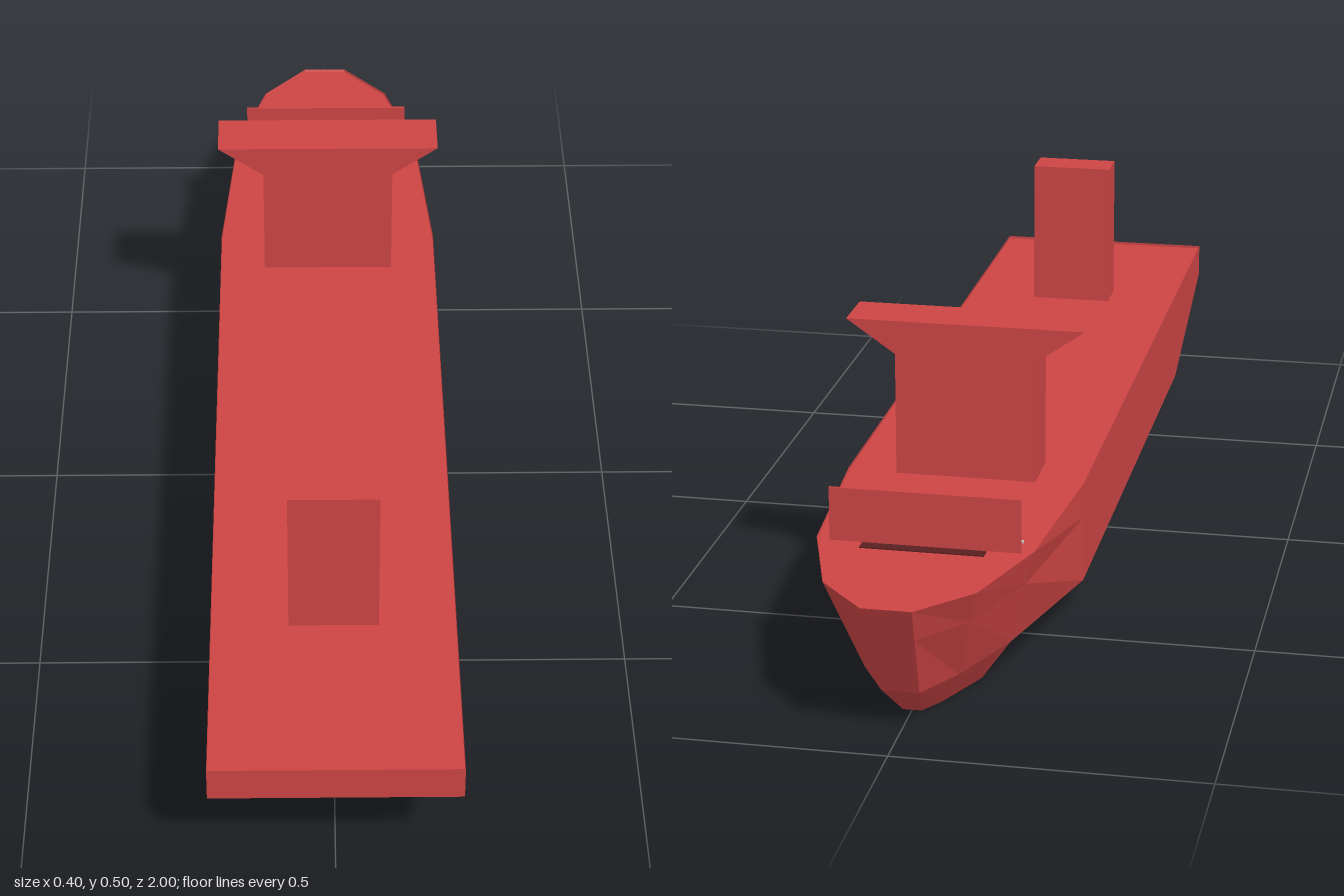
import * as THREE from 'three';

const red = new THREE.MeshStandardMaterial({ color: 0xcc4444, flatShading: true, side: THREE.DoubleSide });
const darkRed = new THREE.MeshStandardMaterial({ color: 0x5a2020, flatShading: true });
const grey = new THREE.MeshStandardMaterial({ color: 0xcccccc, flatShading: true });

const RAIL = 0.24, KNUCKLE = 0.18, CHINE = 0.067, DECK = 0.236;

// Hull stations from stern (+z) to bow (-z): half width and z at rail, chine and keel
const stations = [
  { rail: [0.2, 1], chine: [0.2, 0.67], keel: [0.09, 0.685], knuckle: [0.2, 1] },
  { rail: [0.2, -0.415], chine: [0.2, -0.415], keel: [0.09, -0.415] },
  { rail: [0.175, -0.73], chine: [0.13, -0.69], keel: [0.083, -0.69] },
  { rail: [0.12, -0.91], chine: [0.075, -0.83], keel: [0.04, -0.79] },
  { rail: [0.04, -1], chine: [0.03, -0.91], keel: [0.015, -0.83] },
];

function meshFromQuads(name, quads) {
  const pos = [];
  for (const [a, b, c, d] of quads) for (const p of [a, b, c, a, c, d]) pos.push(...p);
  const geo = new THREE.BufferGeometry();
  geo.setAttribute('position', new THREE.Float32BufferAttribute(pos, 3));
  geo.computeVertexNormals();
  const mesh = new THREE.Mesh(geo, red);
  mesh.name = name;
  return mesh;
}

// Cross-section: down the left side, then up the right side
function ring({ rail, chine, keel, knuckle }) {
  const t = (RAIL - KNUCKLE) / (RAIL - CHINE);
  const k = knuckle ?? rail.map((v, i) => v + (chine[i] - v) * t);
  const left = [[rail, RAIL], [k, KNUCKLE], [chine, CHINE], [keel, 0]].map(([[x, z], y]) => [x, y, z]);
  return [...left, ...left.map(([x, y, z]) => [-x, y, z]).reverse()];
}

function makeHull() {
  const rings = stations.map(ring);
  const quads = [];
  for (let i = 0; i < rings.length - 1; i++) {
    const a = rings[i], b = rings[i + 1];
    for (let j = 0; j < 7; j++) quads.push([a[j], a[j + 1], b[j + 1], b[j]]);
  }
  // Stern and bow closures
  const s = rings[0], w = rings[rings.length - 1];
  for (let j = 0; j < 3; j++) {
    quads.push([s[j], s[7 - j], s[6 - j], s[j + 1]]);
    quads.push([w[j], w[j + 1], w[6 - j], w[7 - j]]);
  }
  return meshFromQuads('hull', quads);
}

// Deck sits just below the rail
function makeDeck() {
  const edge = stations.map(({ rail: [x, z] }) => [x * 0.996, DECK, z * 0.997]);
  const flip = ([x, y, z]) => [-x, y, z];
  const quads = [];
  for (let i = 0; i < edge.length - 1; i++) {
    quads.push([edge[i], edge[i + 1], flip(edge[i + 1]), flip(edge[i])]);
  }
  return meshFromQuads('deck', quads);
}

function box(name, w, y0, y1, z0, z1, mat = red) {
  const mesh = new THREE.Mesh(new THREE.BoxGeometry(w, y1 - y0, z1 - z0), mat);
  mesh.position.set(0, (y0 + y1) / 2, (z0 + z1) / 2);
  mesh.name = name;
  return mesh;
}

// Bridge block flaring into wings at the top
function makeBridge() {
  const half = [[0.118, DECK], [0.118, 0.445], [0.2, 0.502]];
  const outline = [...half, ...half.map(([x, y]) => [-x, y]).reverse()];
  const shape = new THREE.Shape(outline.map(([x, y]) => new THREE.Vector2(x, y)));
  const geo = new THREE.ExtrudeGeometry(shape, { depth: 0.095, bevelEnabled: false });
  const mesh = new THREE.Mesh(geo, red);
  mesh.position.z = -0.415;
  mesh.name = 'bridge';
  return mesh;
}

// Slim mooring gear lying across the foredeck
function makeMooringGear() {
  const gear = new THREE.Group();
  gear.name = 'mooringGear';
  gear.add(box('bar', 0.3, DECK, 0.24, -0.687, -0.683, grey));
  for (const side of [-1, 1]) {
    const cone = new THREE.Mesh(new THREE.ConeGeometry(0.007, 0.025, 6), grey);
    cone.rotation.z = side * Math.PI / 2;
    cone.position.set(side * 0.012, 0.247, -0.685);
    cone.name = 'spindle';
    gear.add(cone);
  }
  return gear;
}

export function createModel() {
  const ship = new THREE.Group();
  ship.name = 'ship';
  ship.add(
    makeHull(),
    makeDeck(),
    makeBridge(),
    box('funnel', 0.147, DECK, 0.502, 0.6, 0.667),
    box('breakwater', 0.308, DECK, 0.325, -0.73, -0.726),
    box('deckSlot', 0.2, 0.23, 0.238, -0.755, -0.735, darkRed),
    makeMooringGear(),
  );
  return ship;
}
